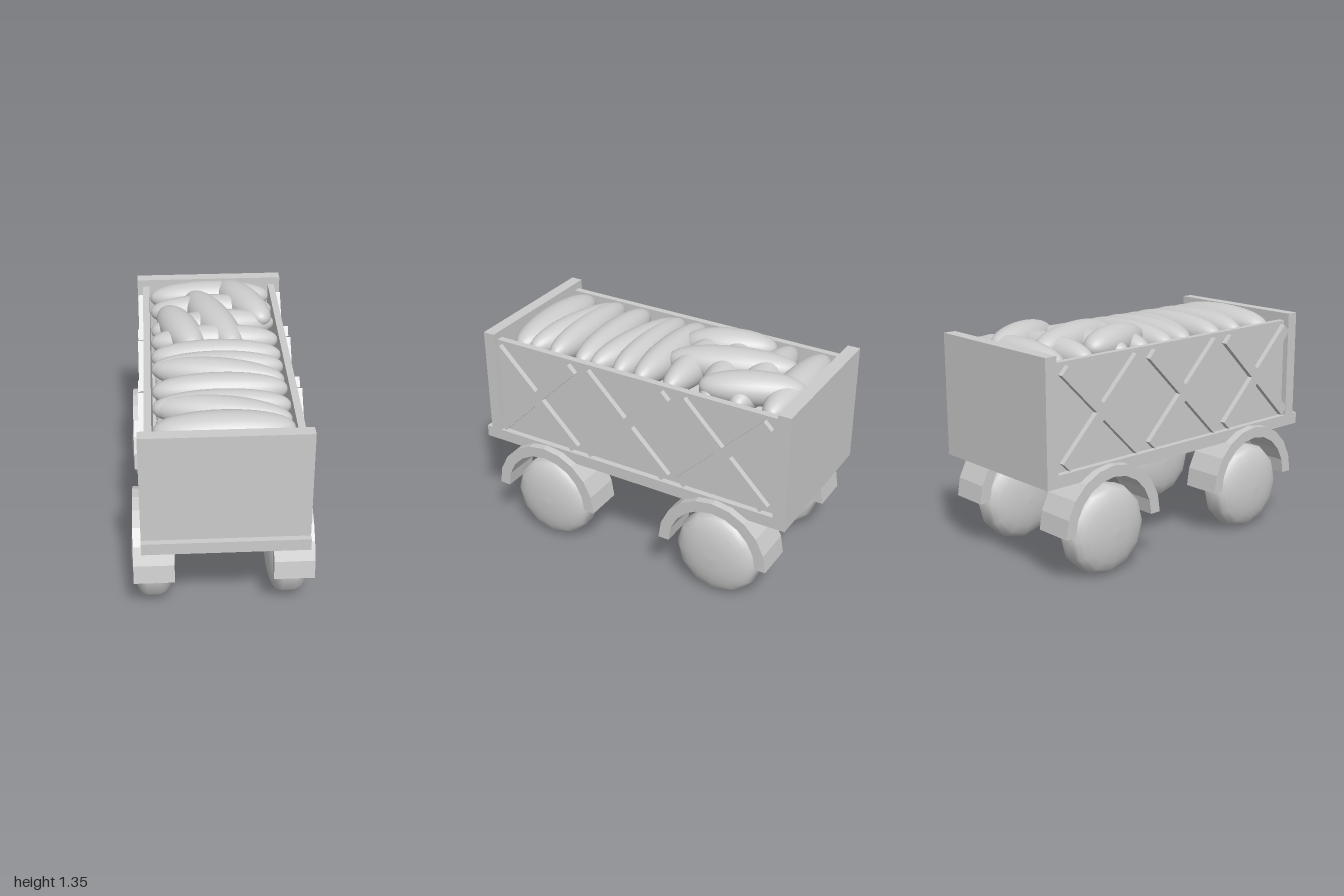
import * as THREE from 'three';
import { mergeVertices } from 'three/addons/utils/BufferGeometryUtils.js';

const grey = new THREE.MeshStandardMaterial({ color: 0xcccccc });

function add(parent, name, geometry, x, y, z) {
  const mesh = new THREE.Mesh(geometry, grey);
  mesh.name = name;
  mesh.position.set(x, y, z);
  parent.add(mesh);
  return mesh;
}

// Box given by its limits on each axis
function slab(parent, name, [x0, x1], [y0, y1], [z0, z1]) {
  return add(parent, name, new THREE.BoxGeometry(x1 - x0, y1 - y0, z1 - z0),
    (x0 + x1) / 2, (y0 + y1) / 2, (z0 + z1) / 2);
}

// Stuffed sack: a sphere with blunted ends, long axis on x
function sackGeometry(halfLength, halfHeight, halfWidth) {
  const g = new THREE.SphereGeometry(1, 28, 20);
  g.rotateZ(Math.PI / 2);
  const p = g.attributes.position;
  for (let i = 0; i < p.count; i++) {
    const x = p.getX(i);
    const r = Math.hypot(p.getY(i), p.getZ(i)) || 1;
    const swell = Math.pow(Math.min(r, 1), 0.85) / r;
    p.setXYZ(i, x * halfLength, p.getY(i) * swell * halfHeight, p.getZ(i) * swell * halfWidth);
  }
  g.deleteAttribute('uv');
  g.deleteAttribute('normal');
  const merged = mergeVertices(g, 1e-5);
  merged.computeVertexNormals();
  return merged;
}

// Twelve-sided wheel with domed faces, axle on x
function wheelGeometry() {
  const half = [[0, 0.127], [0.07, 0.124], [0.13, 0.116], [0.18, 0.103],
    [0.22, 0.086], [0.245, 0.065], [0.26, 0.038]];
  const profile = [
    ...half.map(([r, w]) => new THREE.Vector2(r, -w)),
    ...half.slice().reverse().map(([r, w]) => new THREE.Vector2(r, w)),
  ];
  return new THREE.LatheGeometry(profile, 12).rotateZ(Math.PI / 2);
}

// Faceted half-ring mudguard, centred on its width
function fenderGeometry(width) {
  const steps = 10, outer = [], inner = [];
  for (let i = 0; i <= steps; i++) {
    const a = Math.PI * i / steps, c = Math.cos(a), s = Math.sin(a);
    outer.push(new THREE.Vector2(0.342 * c, 0.345 * s));
    inner.unshift(new THREE.Vector2(0.275 * c, 0.28 * s));
  }
  const g = new THREE.ExtrudeGeometry(new THREE.Shape([...outer, ...inner]),
    { depth: width, bevelEnabled: false });
  return g.translate(0, 0, -width / 2).rotateY(Math.PI / 2);
}

export function createModel() {
  const model = new THREE.Group();
  model.name = 'wagon';

  // Cart body, set very slightly towards +x
  const body = new THREE.Group();
  body.name = 'body';
  body.position.x = 0.01;
  model.add(body);
  const full = [-0.455, 0.455];
  slab(body, 'floor', full, [0.58, 0.65], [-1, 1]);
  slab(body, 'frontBoard', full, [0.65, 1.29], [0.895, 0.965]);
  slab(body, 'backBoard', full, [0.58, 1.29], [-1, -0.925]);

  // Side walls with three crossed braces each
  const brace = new THREE.BoxGeometry(0.035, 0.065, 0.74);
  for (const side of [-1, 1]) {
    const wall = slab(body, 'sideWall', [-0.02, 0.02], [0.65, 1.245], [-0.925, 0.9]);
    wall.position.x = side * 0.4;
    for (const z of [0.625, 0.015, -0.605]) {
      for (const tilt of [-1, 1]) {
        add(body, 'crossBrace', brace, side * 0.4345, 0.94, z).rotation.x = tilt * Math.PI / 4;
      }
    }
  }

  // Wheels and mudguards
  const wheel = wheelGeometry(), fender = fenderGeometry(0.228);
  for (const side of [-1, 1]) {
    for (const z of [0.553, -0.578]) {
      add(model, 'wheel', wheel, side * 0.386, 0.26, z);
      add(model, 'fender', fender, side * 0.389 + 0.008, 0.3, z);
    }
  }

  // Sacks: x, y, z, half length, half height, half width, turn
  const load = new THREE.Group();
  load.name = 'load';
  model.add(load);
  const sack = (x, y, z, l, h, w, turn = 0) => {
    add(load, 'sack', sackGeometry(l, h, w), x, y, z).rotation.y = turn;
  };

  // Hidden lower layers
  for (const y of [0.76, 0.96]) {
    for (let i = 0; i < 8; i++) sack(0.01, y, -0.78 + i * 0.217, 0.36, 0.11, 0.11);
  }

  // Upper layer lying across the cart
  const rows = [
    [-0.83, 0.105, 0], [-0.63, 0.1, 0], [-0.41, 0.1, 0.12], [-0.22, 0.1, 0],
    [-0.03, 0.1, 0], [0.11, 0.095, 0], [0.19, 0.1, -0.22], [0.36, 0.1, 0],
    [0.54, 0.095, 0], [0.61, 0.1, -0.22], [0.77, 0.12, 0],
  ];
  for (const [z, w, turn] of rows) sack(0.01, 1.21, z, 0.375, 0.102, w, turn);

  // Three sacks thrown on top at the back
  sack(0.21, 1.25, -0.65, 0.29, 0.095, 0.11, Math.PI / 2 - 1.16 - Math.PI / 2);
  sack(0.01, 1.245, -0.43, 0.37, 0.1, 0.115, -1.25);
  sack(-0.19, 1.245, -0.31, 0.27, 0.1, 0.11, -1.25);

  return model;
}
